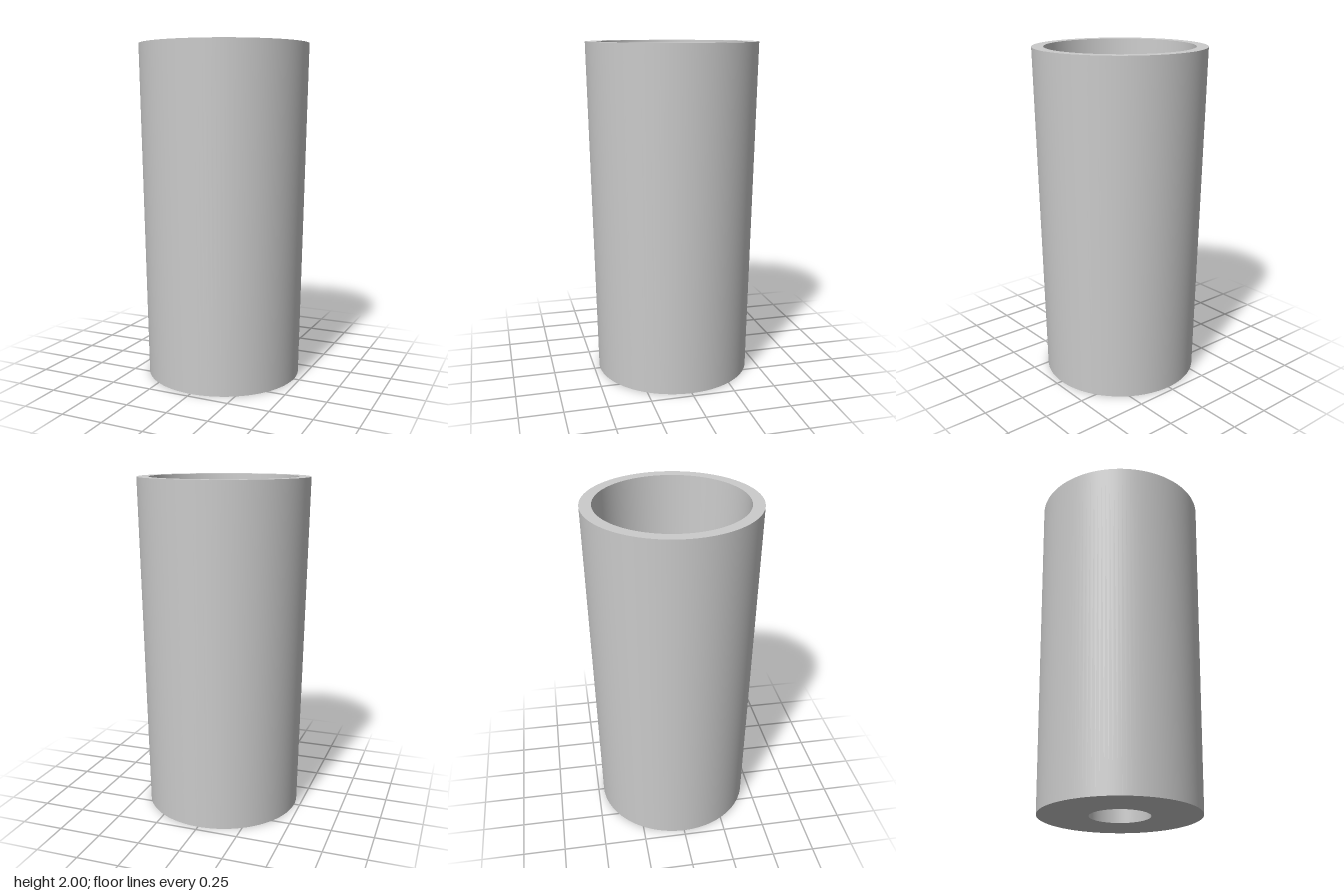
import * as THREE from 'three';

const SEGMENTS = 128;

export function createModel() {
  const group = new THREE.Group();
  group.name = 'taperedSleeve';
  const material = new THREE.MeshStandardMaterial({ color: 0xcccccc });

  // Closed wall section as [radius, height], running up the outside and down the inside
  const section = [
    ['outerWall', 0.465, 0],
    ['topRim', 0.503, 2],
    ['innerWall', 0.435, 2],
    ['cupFloor', 0.397, 0.25],
    ['drainHole', 0.174, 0.25],
    ['base', 0.174, 0],
  ];

  // One lathe per face keeps the edges between them sharp
  section.forEach(([name, r, y], i) => {
    const [, r2, y2] = section[(i + 1) % section.length];
    const profile = [new THREE.Vector2(r, y), new THREE.Vector2(r2, y2)];
    const mesh = new THREE.Mesh(new THREE.LatheGeometry(profile, SEGMENTS), material);
    mesh.name = name;
    group.add(mesh);
  });

  return group;
}
